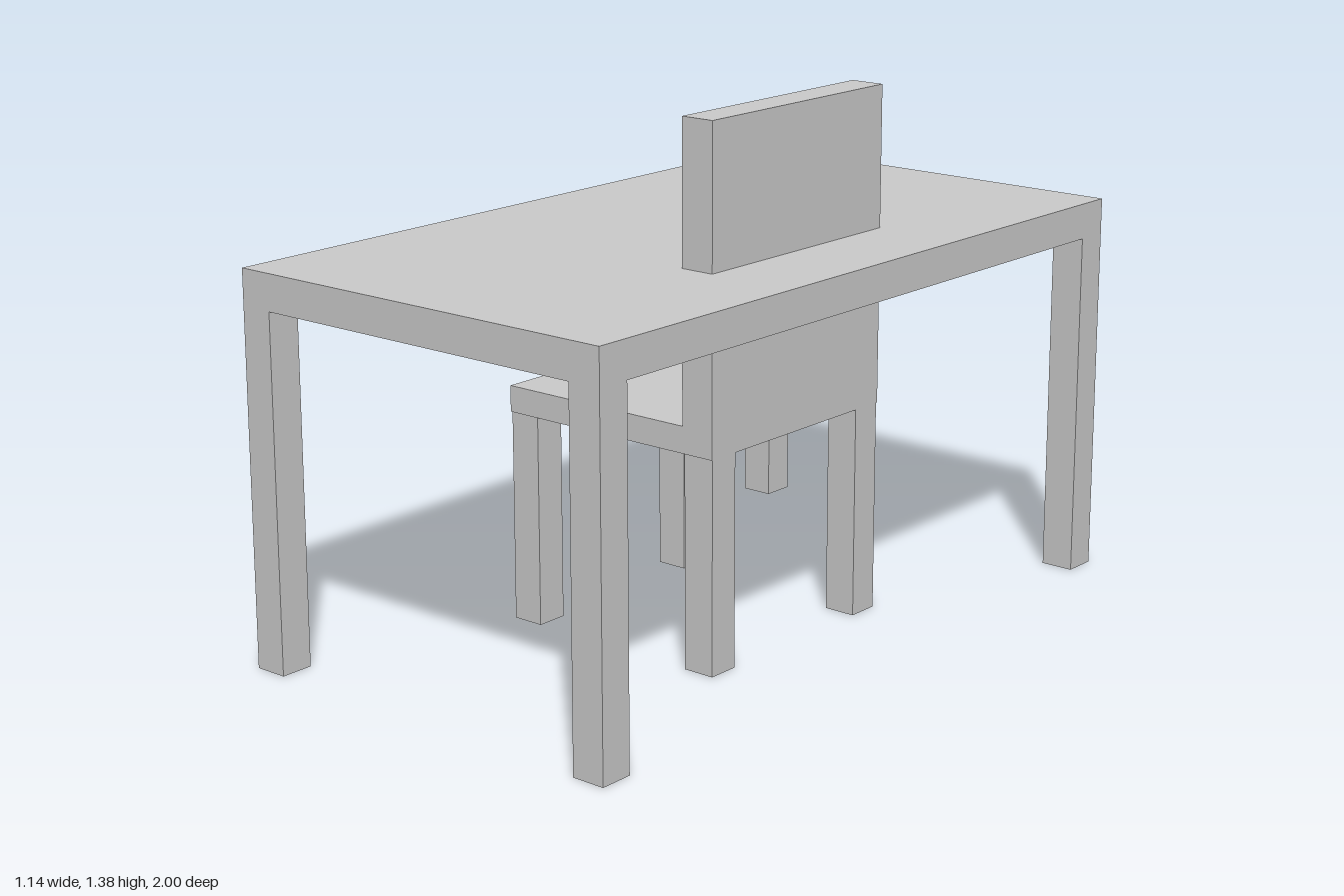
import * as THREE from 'three';

const material = new THREE.MeshStandardMaterial({ color: 0xcccccc, flatShading: true });

// Box given by its lower and upper limits on each axis
function block(name, [x0, x1], [y0, y1], [z0, z1]) {
  const mesh = new THREE.Mesh(new THREE.BoxGeometry(x1 - x0, y1 - y0, z1 - z0), material);
  mesh.position.set((x0 + x1) / 2, (y0 + y1) / 2, (z0 + z1) / 2);
  mesh.name = name;
  return mesh;
}

// Four square legs with outer faces at +-halfX, +-halfZ
function addLegs(group, name, halfX, halfZ, width, height) {
  for (const sx of [-1, 1]) {
    for (const sz of [-1, 1]) {
      const cx = sx * (halfX - width / 2);
      const cz = sz * (halfZ - width / 2);
      const h = width / 2;
      group.add(block(name, [cx - h, cx + h], [0, height], [cz - h, cz + h]));
    }
  }
}

export function createModel() {
  const model = new THREE.Group();
  model.name = 'tableAndChair';

  // Table: slab top flush with its corner legs
  const table = new THREE.Group();
  table.name = 'table';
  table.add(block('tableTop', [-0.57, 0.57], [0.922, 1.016], [-1, 1]));
  addLegs(table, 'tableLeg', 0.57, 1, 0.09, 0.922);

  // Chair: seat facing -x, upright back rising through the table top
  const chair = new THREE.Group();
  chair.name = 'chair';
  chair.add(block('seat', [-0.333, 0.238], [0.556, 0.625], [-0.333, 0.333]));
  chair.add(block('backrest', [0.238, 0.331], [0.556, 1.383], [-0.333, 0.333]));
  addLegs(chair, 'chairLeg', 0.33, 0.33, 0.087, 0.556);

  model.add(table, chair);
  return model;
}
